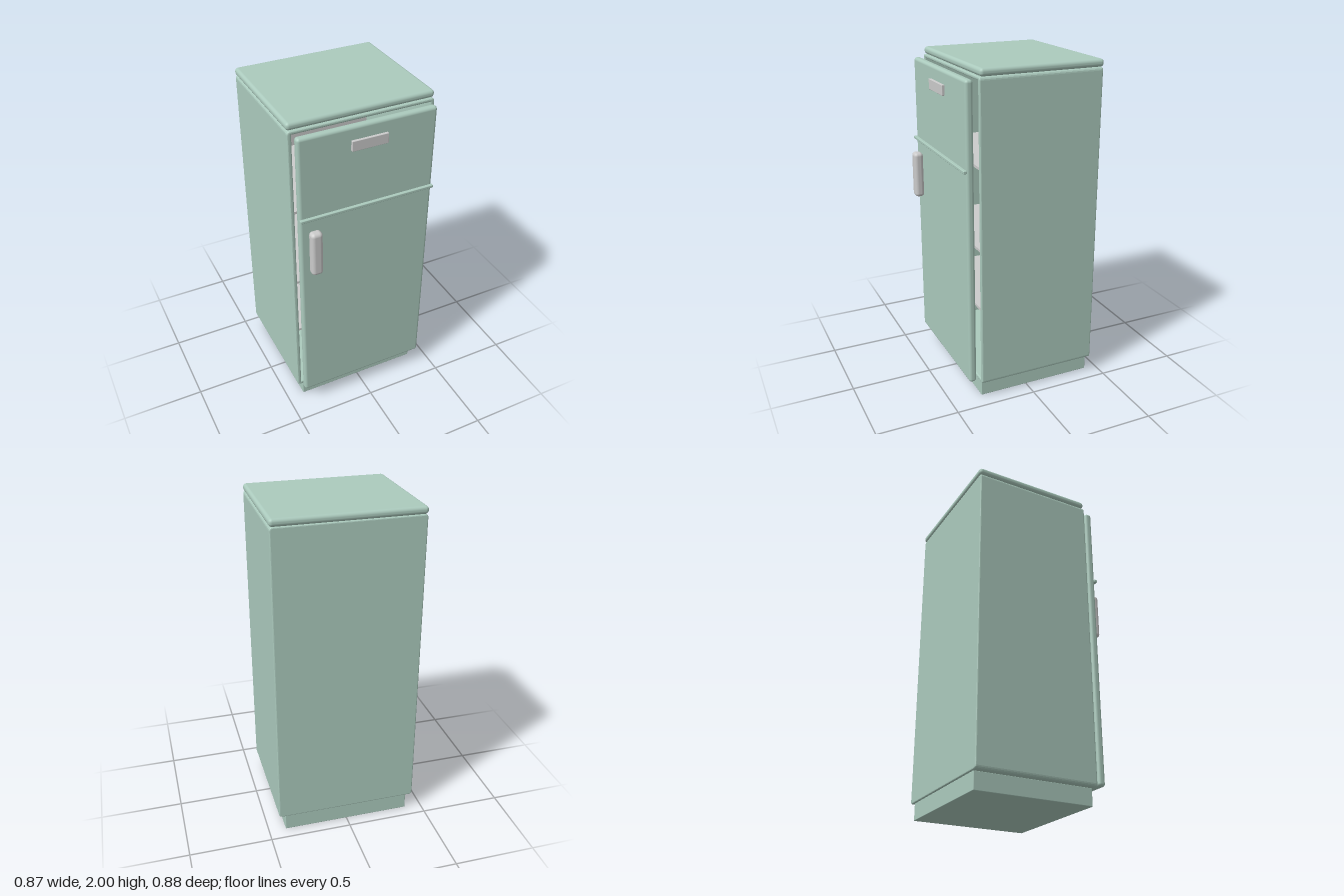
import * as THREE from 'three';
import { RoundedBoxGeometry } from 'three/addons/geometries/RoundedBoxGeometry.js';

const material = (color) => new THREE.MeshStandardMaterial({ color });

// Rounded rectangle outline between two corners
function roundedRect(target, x0, y0, x1, y1, r) {
  target.moveTo(x0 + r, y0);
  target.lineTo(x1 - r, y0);
  target.quadraticCurveTo(x1, y0, x1, y0 + r);
  target.lineTo(x1, y1 - r);
  target.quadraticCurveTo(x1, y1, x1 - r, y1);
  target.lineTo(x0 + r, y1);
  target.quadraticCurveTo(x0, y1, x0, y1 - r);
  target.lineTo(x0, y0 + r);
  target.quadraticCurveTo(x0, y0, x0 + r, y0);
  return target;
}

export function createModel() {
  const fridge = new THREE.Group();
  fridge.name = 'refrigerator';
  const mint = material(0xabcabd);
  const grey = material(0xcccccc);
  const orange = material(0xd0502a);

  const add = (name, geometry, mat) => {
    const mesh = new THREE.Mesh(geometry, mat);
    mesh.name = name;
    fridge.add(mesh);
    return mesh;
  };

  // Box given by its limits on each axis, with optional rounded edges
  const block = (name, [x0, x1], [y0, y1], [z0, z1], radius, mat) => {
    const size = [x1 - x0, y1 - y0, z1 - z0];
    const geometry = radius
      ? new RoundedBoxGeometry(...size, 3, radius)
      : new THREE.BoxGeometry(...size);
    const mesh = add(name, geometry, mat);
    mesh.position.set((x0 + x1) / 2, (y0 + y1) / 2, (z0 + z1) / 2);
    return mesh;
  };

  // Plinth
  block('plinth', [-0.395, 0.395], [0, 0.105], [-0.425, 0.303], 0.004, mint);

  // Cabinet: hollow shell with bevelled rims, open at the front
  const bevel = 0.008;
  const outline = roundedRect(new THREE.Shape(), -0.427, 0.111, 0.427, 1.947, 0.012);
  outline.holes.push(roundedRect(new THREE.Path(), -0.418, 0.12, 0.418, 1.942, 0.006));
  const shell = new THREE.ExtrudeGeometry(outline, {
    depth: 0.75 - 2 * bevel,
    bevelThickness: bevel,
    bevelSize: bevel,
    bevelSegments: 3,
    curveSegments: 4,
  });
  shell.translate(0, 0, -0.435 + bevel);
  add('cabinetShell', shell, mint);
  block('cabinetBack', [-0.418, 0.418], [0.12, 1.942], [-0.435, -0.415], 0, mint);

  // Interior lining and shelves
  block('backLining', [-0.408, 0.408], [0.13, 1.932], [-0.414, -0.40], 0, grey);
  for (const y of [0.54, 0.92, 1.42]) {
    block('shelf', [-0.41, 0.41], [y - 0.008, y + 0.008], [-0.40, 0.27], 0, grey);
  }

  // Food jar on the middle shelf
  add('jar', new THREE.CylinderGeometry(0.06, 0.06, 0.12, 20), orange).position.set(0.1, 0.988, -0.1);

  // Top slab
  block('topSlab', [-0.437, 0.437], [1.955, 2], [-0.441, 0.311], 0.02, mint);

  // Door standing slightly clear of the cabinet, with its dividing strip
  block('door', [-0.413, 0.413], [0.118, 1.942], [0.34, 0.386], 0.018, mint);
  block('doorStrip', [-0.413, 0.413], [1.434, 1.452], [0.382, 0.404], 0.004, mint);

  // Handle and plate
  block('handle', [-0.366, -0.296], [1.08, 1.367], [0.384, 0.442], 0.022, grey);
  block('doorPlate', [-0.108, 0.108], [1.803, 1.864], [0.384, 0.402], 0.003, grey);

  return fridge;
}
